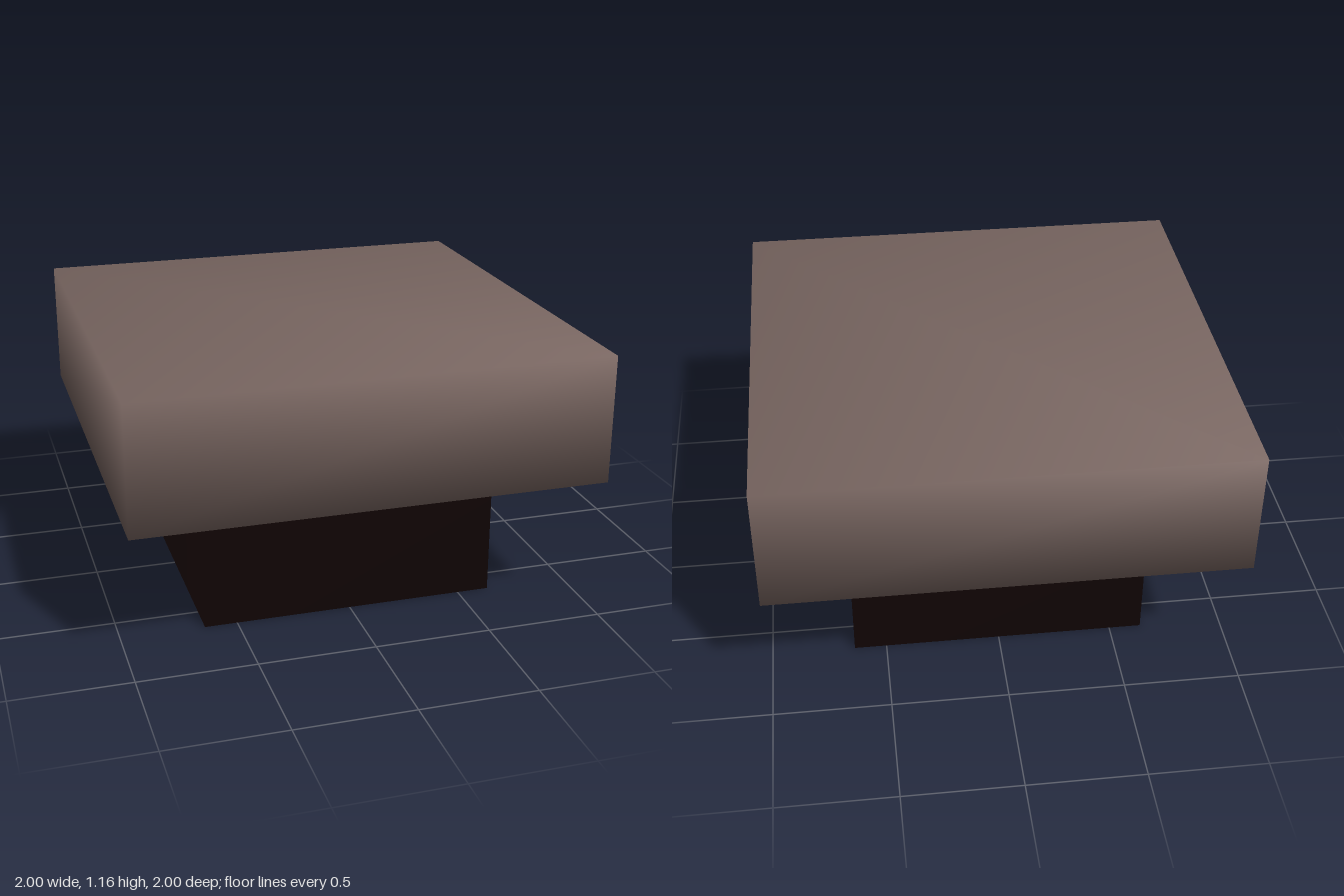
import * as THREE from 'three';

export function createModel() {
  const group = new THREE.Group();
  const stone = new THREE.MeshStandardMaterial({ color: 0x7a6762 });
  stone.name = 'warm grey';
  const dark = new THREE.MeshStandardMaterial({ color: 0x260d0e });
  dark.name = 'dark maroon';

  // Square rings from top to bottom: [half width, height]
  const rings = [[1, 1.165], [1, 0.615], [0.64, 0.615], [0.64, 0]];
  const corners = [[1, 1], [1, -1], [-1, -1], [-1, 1]];
  const positions = [];
  for (const [r, y] of rings) for (const [x, z] of corners) positions.push(x * r, y, z * r);

  // Four quads joining ring k to the ring below it
  const band = (k) => {
    const out = [];
    for (let i = 0; i < 4; i++) {
      const j = (i + 1) % 4, a = k * 4, b = a + 4;
      out.push(b + i, b + j, a + j, b + i, a + j, a + i);
    }
    return out;
  };
  const slabFaces = [0, 1, 2, 0, 2, 3, ...band(0)];
  const baseFaces = [...band(1), ...band(2), 12, 14, 13, 12, 15, 14];

  // Both parts share one set of smooth normals across the joint
  const whole = new THREE.BufferGeometry();
  whole.setAttribute('position', new THREE.Float32BufferAttribute(positions, 3));
  whole.setIndex([...slabFaces, ...baseFaces]);
  whole.computeVertexNormals();

  const addPart = (name, faces, material) => {
    const geometry = whole.clone();
    geometry.setIndex(faces);
    const mesh = new THREE.Mesh(geometry.toNonIndexed(), material);
    mesh.name = name;
    group.add(mesh);
  };
  addPart('topSlab', slabFaces, stone); // wide cap
  addPart('baseBlock', baseFaces, dark); // underside of the cap and the block below
  return group;
}
